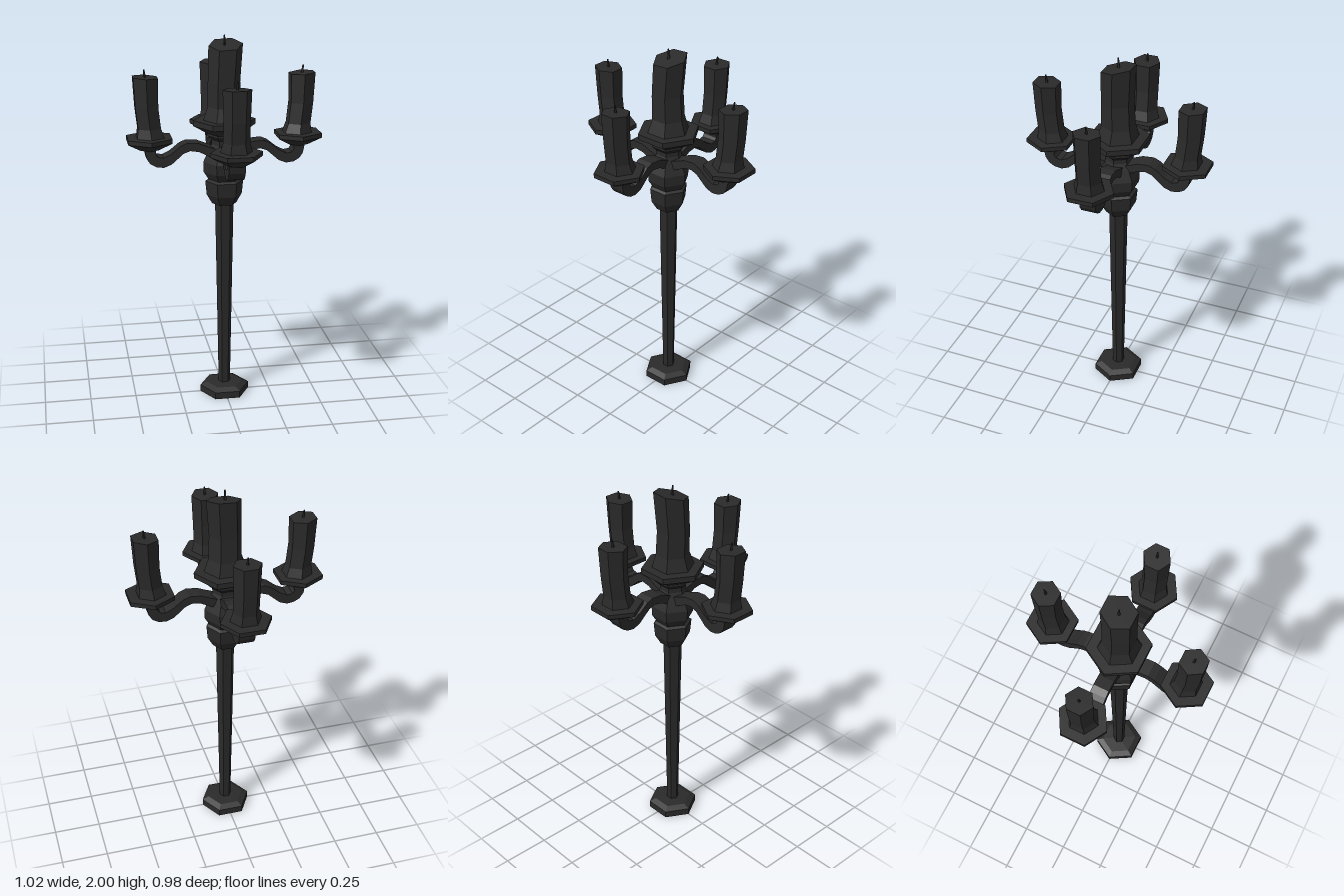
import * as THREE from 'three';

const material = new THREE.MeshStandardMaterial({ color: 0x2a2a2a, flatShading: true });

function part(name, geometry) {
  const mesh = new THREE.Mesh(geometry, material);
  mesh.name = name;
  return mesh;
}

// Six-sided turned solid with corners on the x axis; profile is [radius, y] from bottom to top
function hexLathe(profile) {
  const points = profile.map(([r, y]) => new THREE.Vector2(r, y));
  return new THREE.LatheGeometry(points, 6, Math.PI / 2);
}

// Candle whose rings [radius, y, shiftX, shiftZ] drift sideways, with a slanted top
function candle(name, rings, slantX, slantZ) {
  const last = rings.length - 1;
  const profile = [[0, rings[0][1]], ...rings, [0, rings[last][1]]];
  const geometry = hexLathe(profile);
  const pos = geometry.attributes.position;
  const count = profile.length;
  for (let i = 0; i < pos.count; i++) {
    const k = i % count;
    const [, , dx, dz] = rings[Math.min(Math.max(k - 1, 0), last)];
    const x = pos.getX(i), z = pos.getZ(i);
    const lift = k > last ? x * slantX + z * slantZ : 0;
    pos.setXYZ(i, x + dx, pos.getY(i) + lift, z + dz);
  }
  geometry.computeVertexNormals();
  return part(name, geometry);
}

function wick(x, y0, y1, z, lean) {
  const mesh = part('wick', new THREE.CylinderGeometry(0.004, 0.008, y1 - y0, 5));
  mesh.position.set(x, (y0 + y1) / 2, z);
  mesh.rotation.x = lean;
  return mesh;
}

// Side outline of one curved arm as [distance from axis, y]: upper edge out, lower edge back
const armOutline = [
  [0, 1.40], [0.07, 1.425], [0.12, 1.445], [0.18, 1.45], [0.215, 1.435], [0.265, 1.395],
  [0.305, 1.375], [0.335, 1.38], [0.345, 1.395], [0.345, 1.43],
  [0.405, 1.43], [0.395, 1.375], [0.375, 1.345], [0.345, 1.328], [0.305, 1.323],
  [0.265, 1.338], [0.2, 1.395], [0.165, 1.407], [0.12, 1.4], [0, 1.34],
];

function armGeometry() {
  const width = 0.085;
  const shape = new THREE.Shape(armOutline.map(([u, y]) => new THREE.Vector2(u, y)));
  const geometry = new THREE.ExtrudeGeometry(shape, { depth: width, bevelEnabled: false });
  geometry.translate(0, 0, -width / 2);
  return geometry.rotateY(-Math.PI / 2);
}

// One arm reaching along +z with its drip dish, candle and wick
function branch(name) {
  const group = new THREE.Group();
  group.name = name;
  const dish = part('dripDish', hexLathe([
    [0, 1.415], [0.055, 1.415], [0.132, 1.457], [0.132, 1.48], [0, 1.48],
  ]));
  dish.position.z = 0.375;
  const wax = candle('candle', [
    [0.082, 1.478, 0, -0.006],
    [0.068, 1.53, 0, 0],
    [0.068, 1.64, 0, 0.012],
    [0.073, 1.795, 0, 0.016],
  ], 0, 0.06);
  wax.position.z = 0.375;
  group.add(part('arm', armGeometry()), dish, wax, wick(0, 1.785, 1.835, 0.393, 0.12));
  return group;
}

export function createModel() {
  const model = new THREE.Group();
  model.name = 'candelabrum';

  // Foot, tapered stem and turned bulb
  model.add(part('foot', hexLathe([
    [0, 0], [0.135, 0], [0.135, 0.038], [0.1, 0.055], [0, 0.06],
  ])));
  model.add(part('stem', hexLathe([[0.032, 0.05], [0.05, 1.12]])));
  model.add(part('bulb', hexLathe([
    [0, 1.105], [0.066, 1.105], [0.095, 1.155], [0.102, 1.23], [0.085, 1.24], [0.11, 1.28],
    [0.112, 1.335], [0.085, 1.395], [0.068, 1.43], [0.068, 1.455], [0.09, 1.475], [0.09, 1.5],
  ])));

  // Central dish, candle and wick
  model.add(part('centreDish', hexLathe([
    [0, 1.485], [0.085, 1.485], [0.165, 1.53], [0.165, 1.56], [0, 1.56],
  ])));
  model.add(candle('centreCandle', [
    [0.112, 1.558, 0, 0.003],
    [0.088, 1.63, 0, 0],
    [0.085, 1.76, -0.002, 0.004],
    [0.09, 1.95, 0.008, -0.004],
  ], 0.05, -0.23));
  model.add(wick(0, 1.945, 2.0, 0, 0.05));

  // Four arms; the sideways pair reaches slightly further
  ['frontBranch', 'leftBranch', 'backBranch', 'rightBranch'].forEach((name, i) => {
    const arm = branch(name);
    arm.rotation.y = i * Math.PI / 2;
    arm.position.x = [0, 0.02, 0, -0.02][i];
    model.add(arm);
  });
  return model;
}
